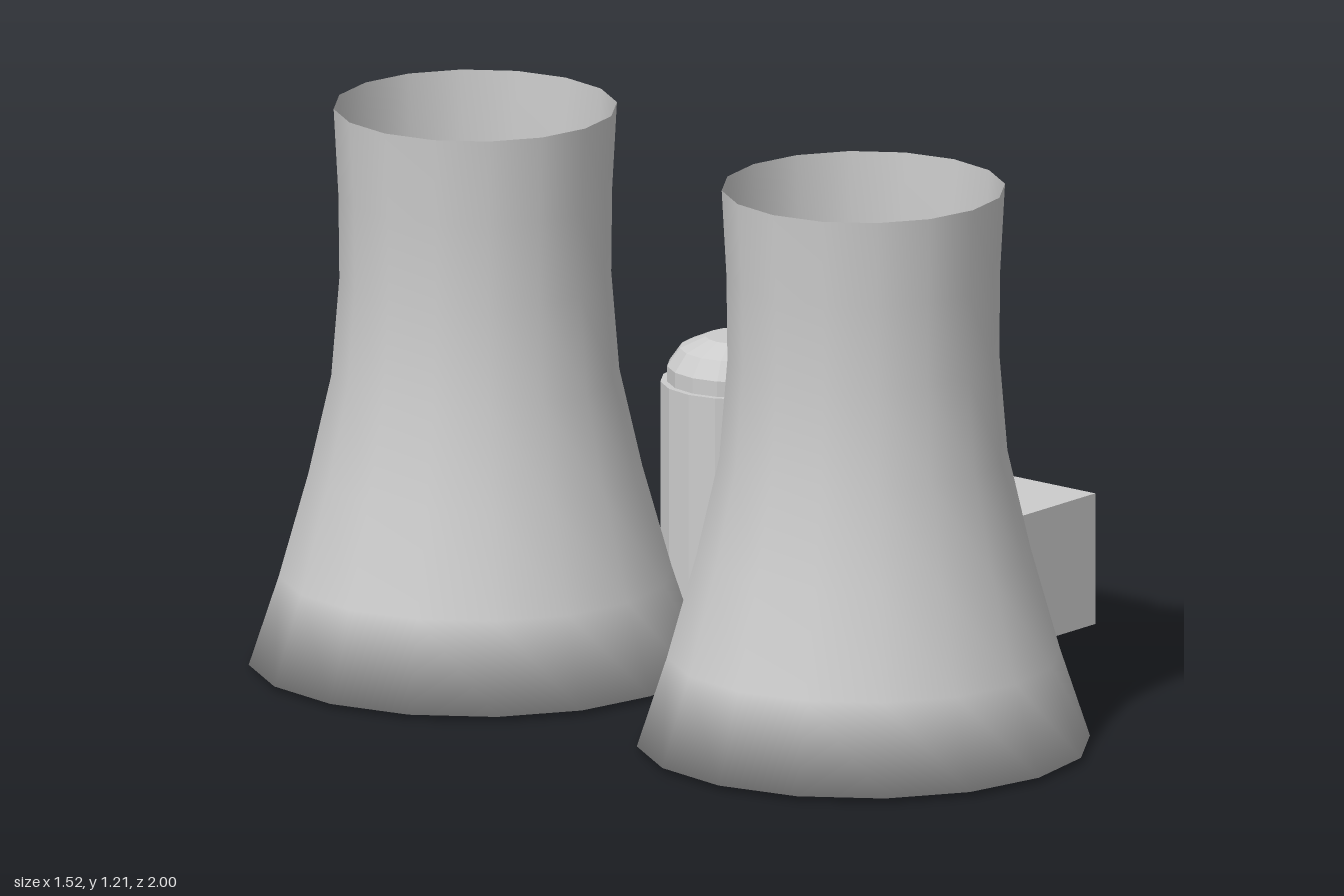
import * as THREE from 'three';

const SIDES = 16;

// Revolve a [radius, height] profile into a named mesh
function revolve(name, profile, flatShading) {
  const points = profile.map(([r, y]) => new THREE.Vector2(r, y));
  const material = new THREE.MeshStandardMaterial({
    color: 0xcccccc, flatShading, side: THREE.DoubleSide,
  });
  const mesh = new THREE.Mesh(new THREE.LatheGeometry(points, SIDES), material);
  mesh.name = name;
  return mesh;
}

export function createModel() {
  const model = new THREE.Group();
  model.name = 'powerPlant';

  // Two open-topped cooling towers: closed floor, flared base, narrow throat
  const towerProfile = [
    [0, 0.01], [0.475, 0.01], [0.412, 0.2], [0.35, 0.42], [0.302, 0.63],
    [0.285, 0.84], [0.287, 1.02], [0.297, 1.205],
  ];
  for (const [name, z] of [['frontCoolingTower', 0.525], ['backCoolingTower', -0.525]]) {
    const tower = revolve(name, towerProfile, false);
    tower.position.set(-0.287, 0, z);
    model.add(tower);
  }

  // Reactor: faceted cylinder with a slightly narrower dome
  const reactor = new THREE.Group();
  reactor.name = 'reactor';
  reactor.add(
    revolve('reactorBody', [[0, 0], [0.163, 0], [0.163, 0.475], [0, 0.475]], true),
    revolve('reactorDome', [[0.149, 0.475], [0.149, 0.508], [0.122, 0.546], [0.068, 0.57], [0, 0.57]], true),
  );
  reactor.position.set(0.468, 0, -0.437);
  model.add(reactor);

  // Turbine hall
  const hall = new THREE.Mesh(
    new THREE.BoxGeometry(0.625, 0.282, 0.482),
    new THREE.MeshStandardMaterial({ color: 0xcccccc }),
  );
  hall.name = 'turbineHall';
  hall.position.set(0.447, 0.151, 0.048);
  model.add(hall);

  return model;
}
